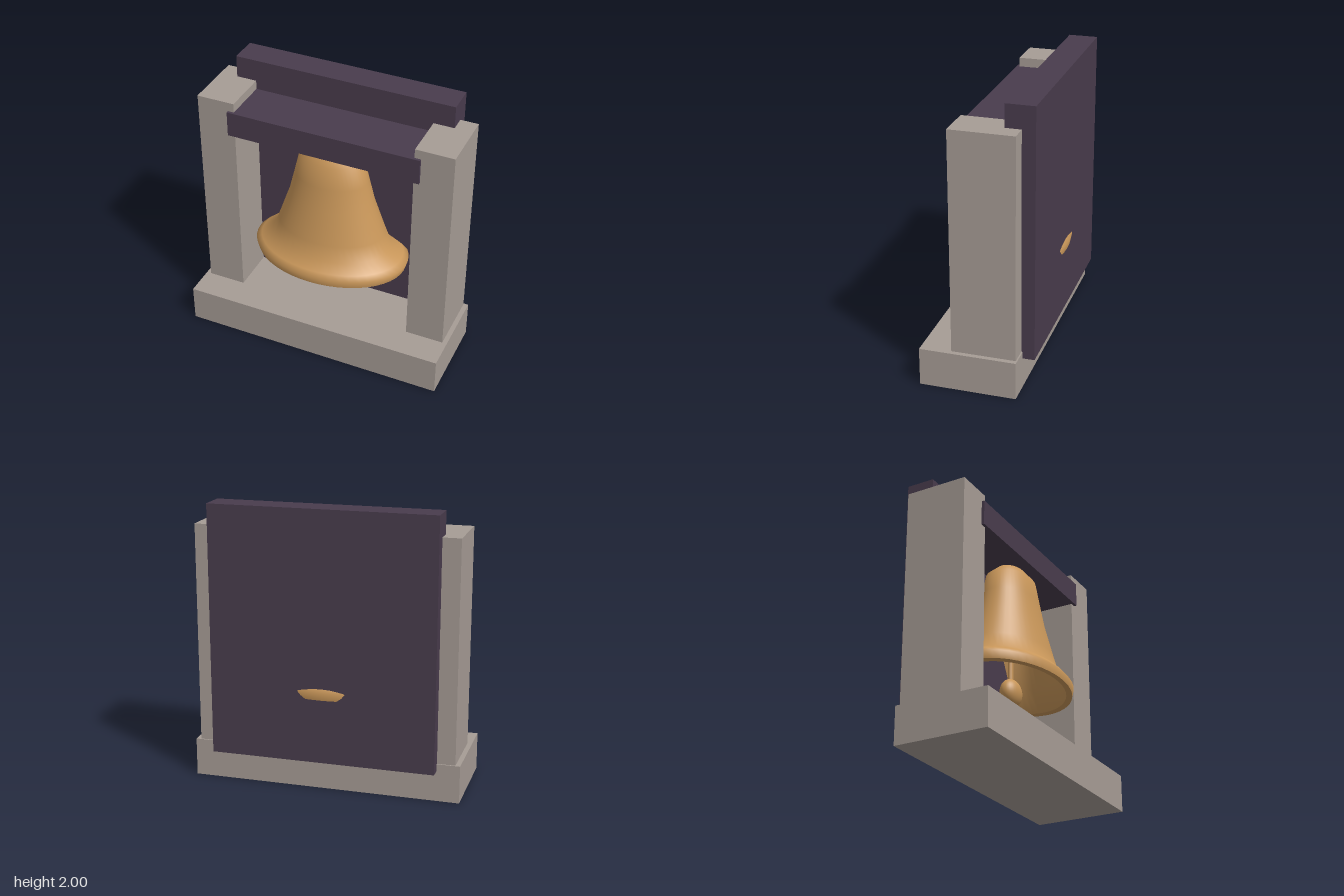
import * as THREE from 'three';

export function createModel() {
  const model = new THREE.Group();
  model.name = 'bellFrame';

  const material = (name, color) => {
    const m = new THREE.MeshStandardMaterial({ color });
    m.name = name;
    return m;
  };
  const stone = material('stone', 0xa69c95);
  const wood = material('darkWood', 0x493c4d);
  const bronze = material('bronze', 0xc89659);

  const add = (parent, name, geometry, mat) => {
    const mesh = new THREE.Mesh(geometry, mat);
    mesh.name = name;
    parent.add(mesh);
    return mesh;
  };

  // Box given by its extents along each axis
  const block = (name, mat, [x0, x1], [y0, y1], [z0, z1]) => {
    const mesh = add(model, name, new THREE.BoxGeometry(x1 - x0, y1 - y0, z1 - z0), mat);
    mesh.position.set((x0 + x1) / 2, (y0 + y1) / 2, (z0 + z1) / 2);
  };

  // Stone plinth and the two pillars
  block('plinth', stone, [-0.962, 0.962], [0, 0.27], [-0.295, 0.38]);
  block('leftPillar', stone, [0.653, 0.928], [0.27, 1.84], [-0.285, 0.163]);
  block('rightPillar', stone, [-0.928, -0.653], [0.27, 1.84], [-0.285, 0.163]);

  // Wooden back board and crossbeam
  block('backBoard', wood, [-0.8, 0.8], [0.22, 2], [-0.377, -0.173]);
  block('crossbeam', wood, [-0.698, 0.698], [1.592, 1.775], [-0.185, 0.183]);

  // Bell, flattened from front to back
  const bell = new THREE.Group();
  bell.name = 'bell';
  bell.scale.z = 0.695;
  model.add(bell);

  const lathe = (name, points) => add(bell, name,
    new THREE.LatheGeometry(points.map(([r, y]) => new THREE.Vector2(r, y)), 48), bronze);

  lathe('bellShell', [
    [0.555, 0.68], [0.57, 0.735], [0.53, 0.77], [0.438, 0.825], [0.395, 0.94],
    [0.312, 1.18], [0.27, 1.35], [0.232, 1.51], [0.13, 1.595], [0, 1.64],
  ]);
  lathe('bellLip', [[0.5, 0.68], [0.555, 0.68]]);
  lathe('bellInside', [
    [0, 1.54], [0.18, 1.48], [0.26, 1.18], [0.385, 0.82], [0.5, 0.68],
  ]);

  // Clapper hanging inside the bell
  const ball = add(bell, 'clapper', new THREE.SphereGeometry(0.102, 32, 20), bronze);
  ball.position.y = 0.645;
  const rod = add(bell, 'clapperRod', new THREE.CylinderGeometry(0.025, 0.025, 0.85, 16), bronze);
  rod.position.y = 1.13;

  return model;
}
